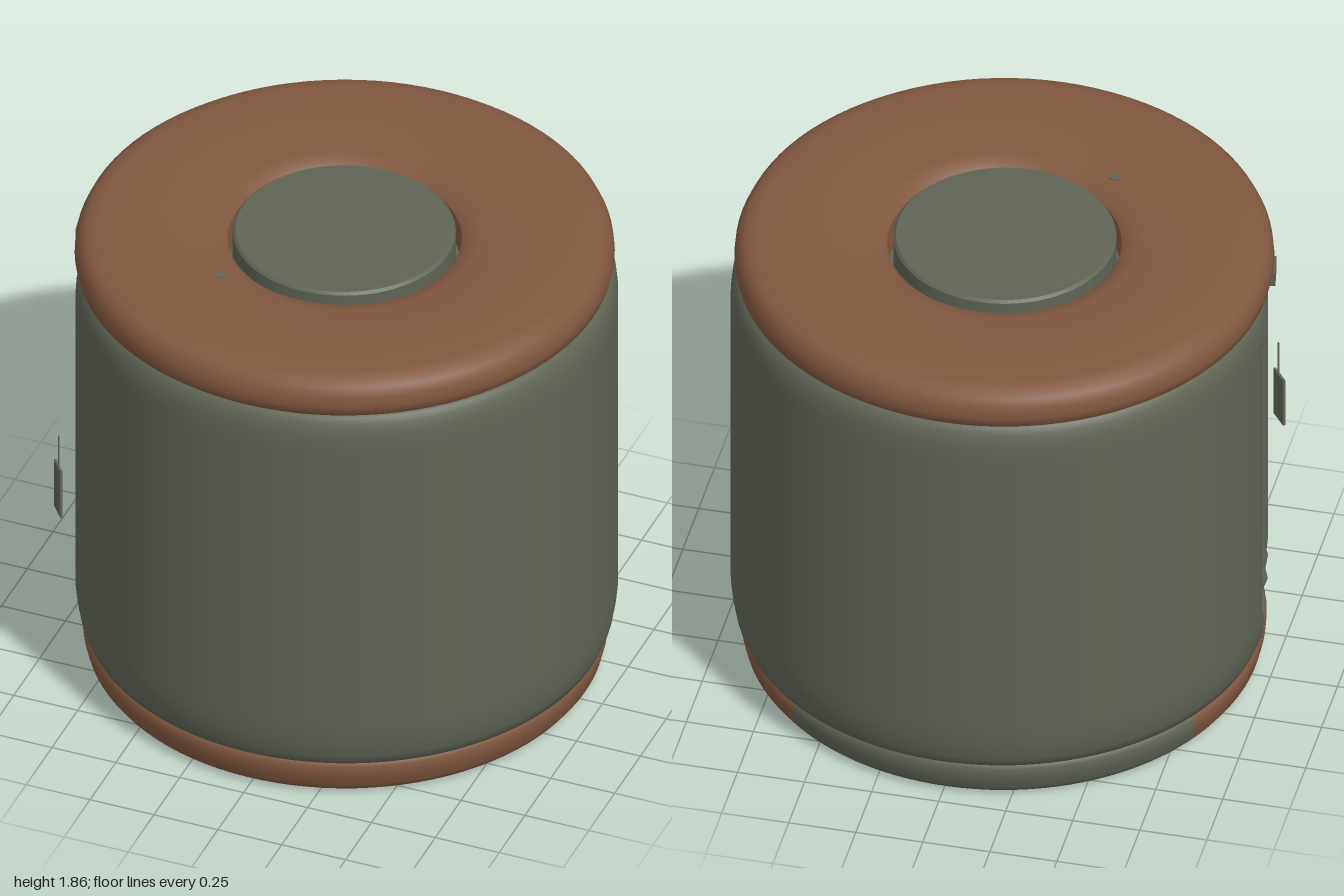
import * as THREE from 'three';
import { toCreasedNormals } from 'three/addons/utils/BufferGeometryUtils.js';

const rad = THREE.MathUtils.degToRad;

// Revolve a profile (listed bottom to top on the outside), keeping sharp rims
function revolve(points, segments = 96, start = 0, sweep = 360) {
  const profile = points.map(([r, y]) => new THREE.Vector2(r, y));
  return new THREE.LatheGeometry(profile, segments, rad(start), rad(sweep));
}

// Barrel with a shallow, round-ended hollow running down its right side
function barrelGeometry() {
  const profile = [[0, 0.14], [0.6, 0.14], [0.94, 0.14], [0.955, 0.15], [0.97, 0.19], [0.98, 0.25]];
  for (let i = 0; i <= 30; i++) profile.push([0.985, 0.3 + (1.28 * i) / 30]);
  profile.push([0.98, 1.63], [0.97, 1.67], [0.955, 1.69], [0.94, 1.7], [0.6, 1.7], [0, 1.7]);
  const geometry = revolve(profile, 200);
  const p = geometry.attributes.position;
  const centre = rad(-78.9), half = 0.225, end = 0.2;
  for (let i = 0; i < p.count; i++) {
    const x = p.getX(i), y = p.getY(i), z = p.getZ(i);
    const r = Math.hypot(x, z);
    if (r < 0.7) continue;
    const u = (Math.atan2(x, z) - centre) * 0.985 / half;
    const v = Math.max(0, Math.abs(y - 0.92) - (0.77 - end)) / end;
    const d = u * u + v * v;
    if (d >= 1) continue;
    // slight unevenness on the hollow's floor
    const rough = 0.004 * Math.sin(y * 47 + u * 3) * Math.sin(u * 9 + y * 13);
    const k = (r - 0.1 * Math.sqrt(1 - d) + rough * (1 - d)) / r;
    p.setXYZ(i, x * k, y, z * k);
  }
  geometry.computeVertexNormals();
  return toCreasedNormals(geometry, 0.7);
}

export function createModel() {
  const model = new THREE.Group();
  model.name = 'drum';
  const green = new THREE.MeshStandardMaterial({ name: 'greyGreen', color: 0x5f6455 });
  const brown = new THREE.MeshStandardMaterial({ name: 'brown', color: 0x80573f });

  const add = (name, geometry, material, x = 0, y = 0, z = 0) => {
    const mesh = new THREE.Mesh(geometry, material);
    mesh.name = name;
    mesh.position.set(x, y, z);
    model.add(mesh);
    return mesh;
  };

  add('barrel', barrelGeometry(), green);

  // Lid ring, dipping a little toward its central opening
  const lid = [[0.42, 1.7], [0.955, 1.7], [0.972, 1.715], [0.98, 1.75], [0.976, 1.79], [0.96, 1.825],
    [0.935, 1.846], [0.89, 1.855], [0.7, 1.852], [0.5, 1.842], [0.45, 1.832], [0.425, 1.81], [0.42, 1.7]];
  add('lidRing', toCreasedNormals(revolve(lid), 0.8), brown, -0.008);
  const plug = [[0.405, 1.7], [0.405, 1.84], [0.395, 1.85], [0.2, 1.853], [0, 1.854]];
  add('centrePlug', toCreasedNormals(revolve(plug, 64), 0.7), green, -0.01);

  // Foot rim: brown around the front, green at the back, green underside
  const foot = [[0.89, 0.002], [0.92, 0.012], [0.94, 0.04], [0.952, 0.09], [0.955, 0.13], [0.94, 0.142]];
  add('footRim', revolve(foot, 72, -120, 260), brown, -0.005);
  add('footRimBack', revolve(foot, 32, 140, 100), green, -0.005);
  add('underside', revolve([[0, 0], [0.87, 0], [0.892, 0.003]]), green, -0.005);

  // Small pits on the lid
  for (const [x, z] of [[-0.32, 0.43], [0.47, 0.39]]) {
    add('lidPit', new THREE.CylinderGeometry(0.022, 0.022, 0.008, 6), green, x, 1.843, z);
  }

  // Small catch over the hollow
  const catchTab = add('catch', new THREE.BoxGeometry(0.1, 0.06, 0.02), green, -0.968, 1.715, 0.18);
  catchTab.rotation.y = rad(-78.9);

  // Thin loose tag standing just off the side
  const tag = new THREE.Group();
  tag.name = 'tag';
  tag.position.set(-0.897, 0, 0.575);
  tag.rotation.y = rad(-52);
  const plate = new THREE.Mesh(new THREE.BoxGeometry(0.085, 0.205, 0.009), green);
  plate.name = 'tagPlate';
  plate.position.y = 0.835;
  const pin = new THREE.Mesh(new THREE.BoxGeometry(0.005, 0.14, 0.005), green);
  pin.name = 'tagPin';
  pin.position.set(0.008, 1.005, 0);
  tag.add(plate, pin);
  model.add(tag);

  return model;
}
